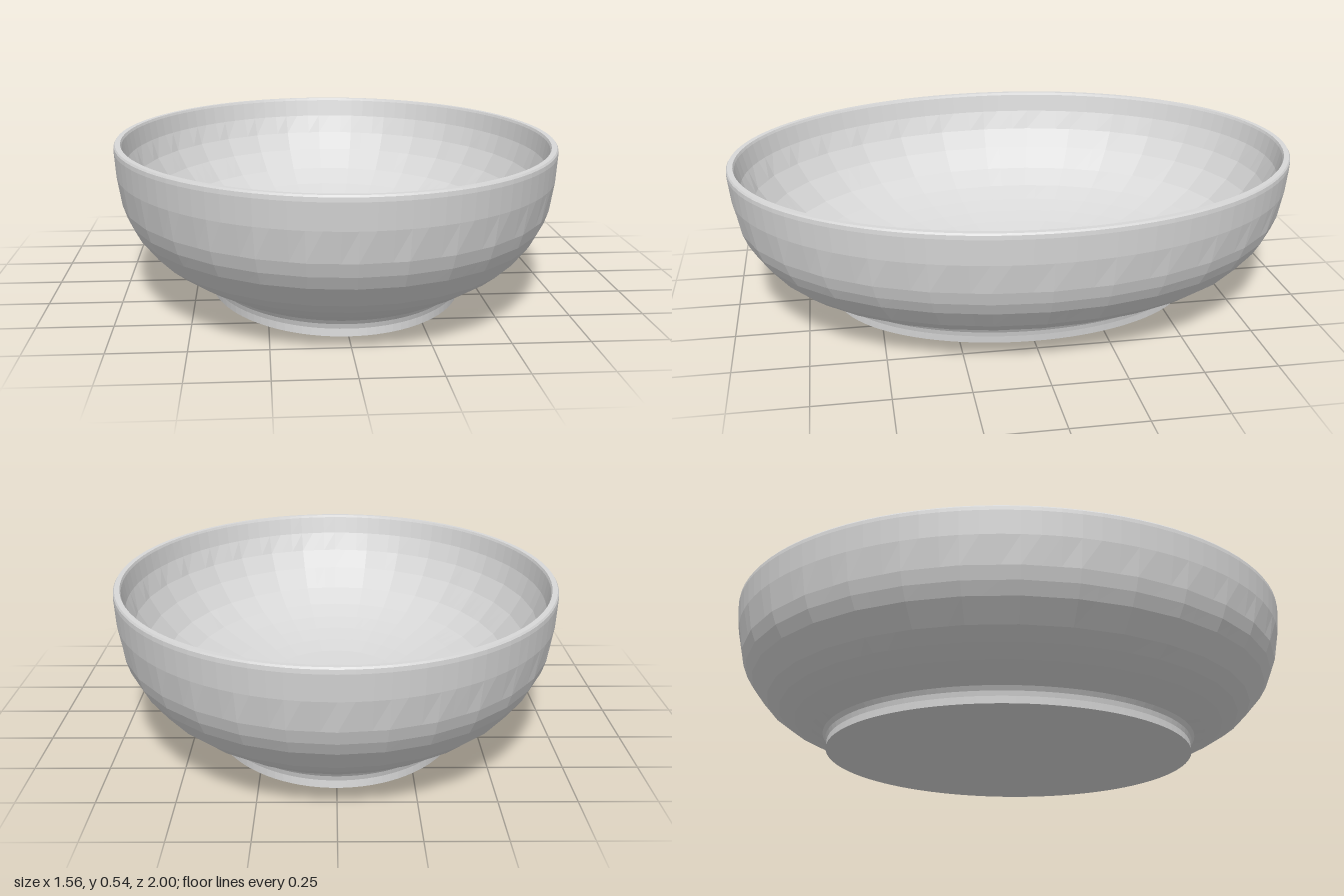
import * as THREE from 'three';

const COLUMNS = 96; // points round each ring
const FACETS = 32;  // broad flat facets round the bowl

// Point on a unit circle, or on a chord of a regular polygon when faceted
function around(i, faceted) {
  const at = (k, n) => [Math.sin((k / n) * Math.PI * 2), Math.cos((k / n) * Math.PI * 2)];
  if (!faceted) return at(i, COLUMNS);
  const step = COLUMNS / FACETS;
  const k = Math.floor(i / step), t = i / step - k;
  const a = at(k, FACETS), b = at(k + 1, FACETS);
  return [a[0] + (b[0] - a[0]) * t, a[1] + (b[1] - a[1]) * t];
}

// Skin oval rings [half width x, half length z, height y, faceted], listed
// upward for surfaces facing outward and downward for surfaces facing inward
function ovalSkin(rings) {
  const positions = [], indices = [];
  for (const [rx, rz, y, faceted] of rings) {
    for (let i = 0; i < COLUMNS; i++) {
      const [s, c] = around(i, faceted);
      positions.push(rx * s, y, rz * c);
    }
  }
  for (let r = 0; r < rings.length - 1; r++) {
    for (let i = 0; i < COLUMNS; i++) {
      const j = (i + 1) % COLUMNS;
      const a = r * COLUMNS + i, b = r * COLUMNS + j;
      const d = a + COLUMNS, e = b + COLUMNS;
      if (rings[r][0] > 0) indices.push(a, b, e);
      if (rings[r + 1][0] > 0) indices.push(a, e, d);
    }
  }
  const geometry = new THREE.BufferGeometry();
  geometry.setAttribute('position', new THREE.Float32BufferAttribute(positions, 3));
  geometry.setIndex(indices);
  geometry.computeVertexNormals();
  return geometry;
}

export function createModel() {
  const bowl = new THREE.Group();
  bowl.name = 'ovalBowl';
  const ceramic = new THREE.MeshStandardMaterial({ color: 0xd8d8d8, flatShading: true });
  ceramic.name = 'pale grey ceramic';

  const add = (name, rings) => {
    const mesh = new THREE.Mesh(ovalSkin(rings), ceramic);
    mesh.name = name;
    bowl.add(mesh);
  };

  // Low oval foot with a flat underside
  add('foot', [
    [0, 0, 0], [0.45, 0.65, 0], [0.453, 0.648, 0.025],
    [0.457, 0.653, 0.042], [0.466, 0.664, 0.057],
  ]);

  // Faceted outer wall, becoming a true oval near the rim
  add('outerWall', [
    [0.466, 0.664, 0.057], [0.5, 0.705, 0.073, true], [0.56, 0.768, 0.104, true],
    [0.617, 0.824, 0.137, true], [0.664, 0.869, 0.172, true],
    [0.72, 0.928, 0.242, true], [0.743, 0.954, 0.285, true],
    [0.758, 0.972, 0.33, true], [0.774, 0.991, 0.43], [0.78, 1, 0.515],
  ]);

  // Narrow rim, flat on top with a softened edge
  add('rim', [
    [0.78, 1, 0.515], [0.779, 0.999, 0.529], [0.775, 0.995, 0.535],
    [0.757, 0.977, 0.535], [0.753, 0.973, 0.526],
  ]);

  // Faceted inside, sweeping down to a shallow floor
  add('innerWall', [
    [0.753, 0.973, 0.526], [0.742, 0.957, 0.46], [0.718, 0.927, 0.39, true],
    [0.676, 0.881, 0.322, true], [0.612, 0.81, 0.25, true],
    [0.54, 0.73, 0.199, true], [0.467, 0.65, 0.167, true],
    [0.4, 0.57, 0.143, true], [0.335, 0.48, 0.123, true],
    [0.27, 0.38, 0.107, true], [0.2, 0.25, 0.096, true], [0.147, 0.147, 0.09],
  ]);

  // Round drain cover, standing slightly proud of the floor
  add('drainCover', [
    [0.147, 0.147, 0.09], [0.147, 0.147, 0.096], [0, 0, 0.097],
  ]);

  return bowl;
}
